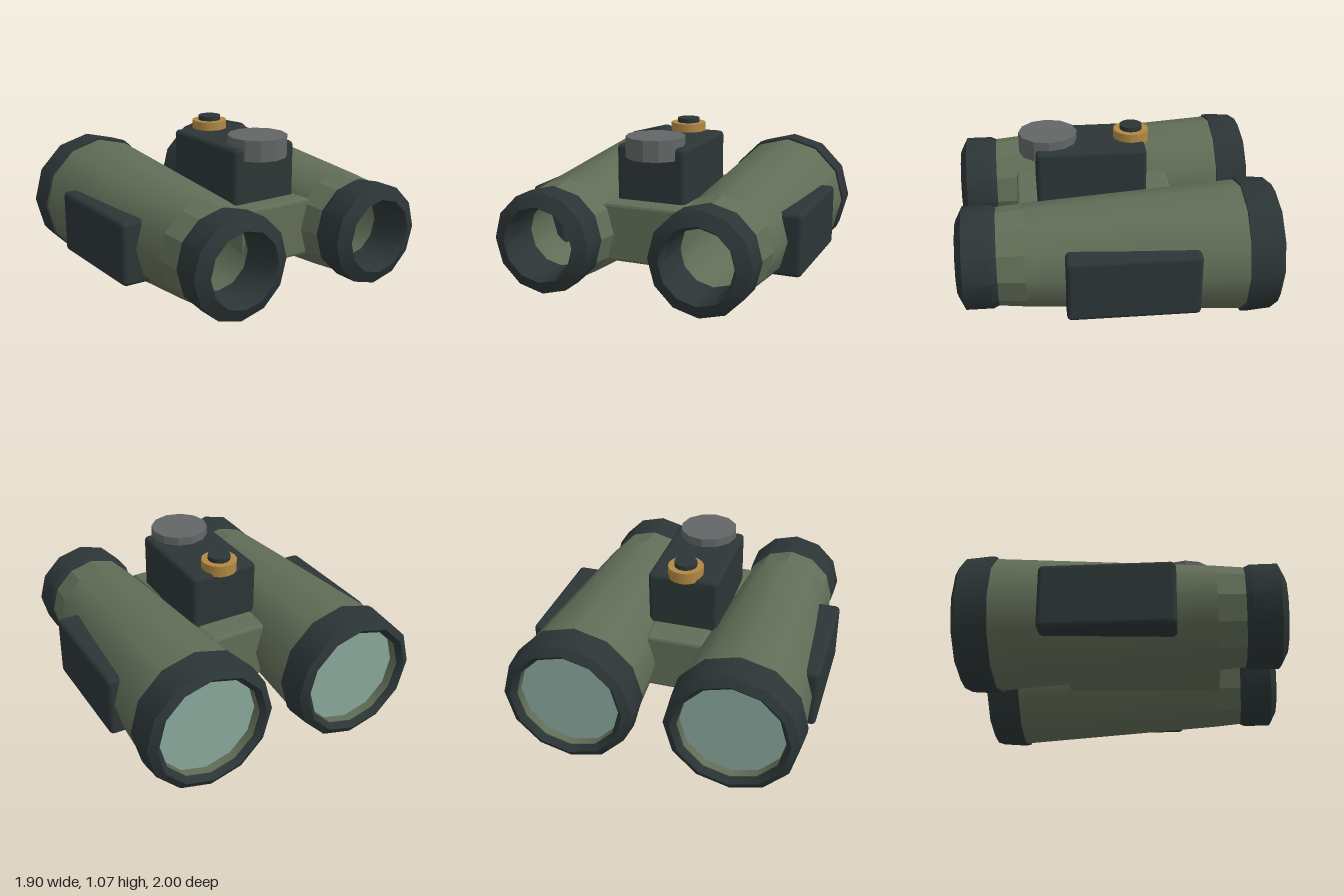
import * as THREE from 'three';
import { toCreasedNormals } from 'three/addons/utils/BufferGeometryUtils.js';
import { RoundedBoxGeometry } from 'three/addons/geometries/RoundedBoxGeometry.js';

const material = (name, color) => {
  const m = new THREE.MeshStandardMaterial({ color });
  m.name = name;
  return m;
};

export function createModel() {
  const olive = material('olive', 0x616d57);
  const rubber = material('dark rubber', 0x2c3536);
  const metal = material('grey metal', 0x636666);
  const brass = material('brass', 0xb18843);
  const glass = material('lens glass', 0x8aa89c);

  const model = new THREE.Group();
  model.name = 'binoculars';

  const add = (parent, name, geometry, mat, x = 0, y = 0, z = 0) => {
    const mesh = new THREE.Mesh(geometry, mat);
    mesh.name = name;
    mesh.position.set(x, y, z);
    parent.add(mesh);
    return mesh;
  };

  // Twelve-sided turned part along z, from [radius, z] points
  const turned = (points, crease = 0.62) => {
    const g = new THREE.LatheGeometry(points.map(([r, z]) => new THREE.Vector2(r, z)), 12);
    g.rotateX(Math.PI / 2);
    return toCreasedNormals(g, crease);
  };

  // Main tube: tapered outer skin and hollow inside
  const tubeGeo = turned([
    [0.335, -0.96], [0.41, -0.96], [0.415, -0.78], [0.37, -0.1], [0.325, 0.58],
  ]);
  const collarGeo = turned([[0.325, 0.58], [0.308, 0.76]], 0.1);
  const innerGeo = turned([[0.27, 0.72], [0.335, -0.8], [0.335, -0.96]]);

  // Eyecup at the front, objective ring at the back
  const eyecupGeo = turned([
    [0.215, 0.72], [0.305, 0.74], [0.325, 0.785], [0.325, 0.957],
    [0.24, 1], [0.217, 0.96], [0.215, 0.72],
  ]);
  const objectiveGeo = turned([
    [0.335, -0.965], [0.37, -1], [0.42, -0.97], [0.432, -0.815],
    [0.428, -0.775], [0.4, -0.775],
  ]);
  const lensGeo = new THREE.CylinderGeometry(0.337, 0.337, 0.01, 12);
  lensGeo.rotateX(Math.PI / 2);
  const gripGeo = new RoundedBoxGeometry(0.24, 0.41, 0.82, 2, 0.03);

  for (const [side, s] of [['left', 1], ['right', -1]]) {
    const barrel = new THREE.Group();
    barrel.name = side + 'Barrel';
    barrel.position.set(0.52 * s, 0.44, 0);
    add(barrel, 'tube', tubeGeo, olive);
    add(barrel, 'collar', collarGeo, olive);
    add(barrel, 'tubeInside', innerGeo, olive);
    add(barrel, 'eyecup', eyecupGeo, rubber);
    add(barrel, 'objectiveRing', objectiveGeo, rubber);
    add(barrel, 'objectiveLens', lensGeo, glass, 0, 0, -0.9);
    add(barrel, 'sideGrip', gripGeo, rubber, 0.31 * s, -0.025, -0.07);
    model.add(barrel);
  }

  // Bridge: tapered plate, wider at the front, with a small bevel
  const b = 0.02;
  const outline = new THREE.Shape([
    new THREE.Vector2(-0.265 + b, -0.61 + b), new THREE.Vector2(0.265 - b, -0.61 + b),
    new THREE.Vector2(0.19 - b, 0.42 - b), new THREE.Vector2(-0.19 + b, 0.42 - b),
  ]);
  const bridgeGeo = new THREE.ExtrudeGeometry(outline, {
    depth: 0.38 - 2 * b, bevelSize: b, bevelThickness: b, bevelSegments: 2,
  });
  bridgeGeo.rotateX(-Math.PI / 2);
  add(model, 'bridge', bridgeGeo, olive, 0, 0.26 + b, 0);

  // Focus housing with its knobs
  add(model, 'focusHousing', new RoundedBoxGeometry(0.465, 0.45, 0.71, 2, 0.03), rubber, 0, 0.77, 0.125);
  add(model, 'focusKnob', new THREE.CylinderGeometry(0.19, 0.19, 0.135, 12).toNonIndexed(), metal, 0, 0.983, 0.395)
    .geometry.computeVertexNormals();
  add(model, 'brassRing', new THREE.CylinderGeometry(0.115, 0.115, 0.075, 16), brass, 0, 1.013, -0.15);
  add(model, 'adjusterCap', new THREE.CylinderGeometry(0.073, 0.073, 0.1, 16), rubber, 0, 1.03, -0.15);

  return model;
}
